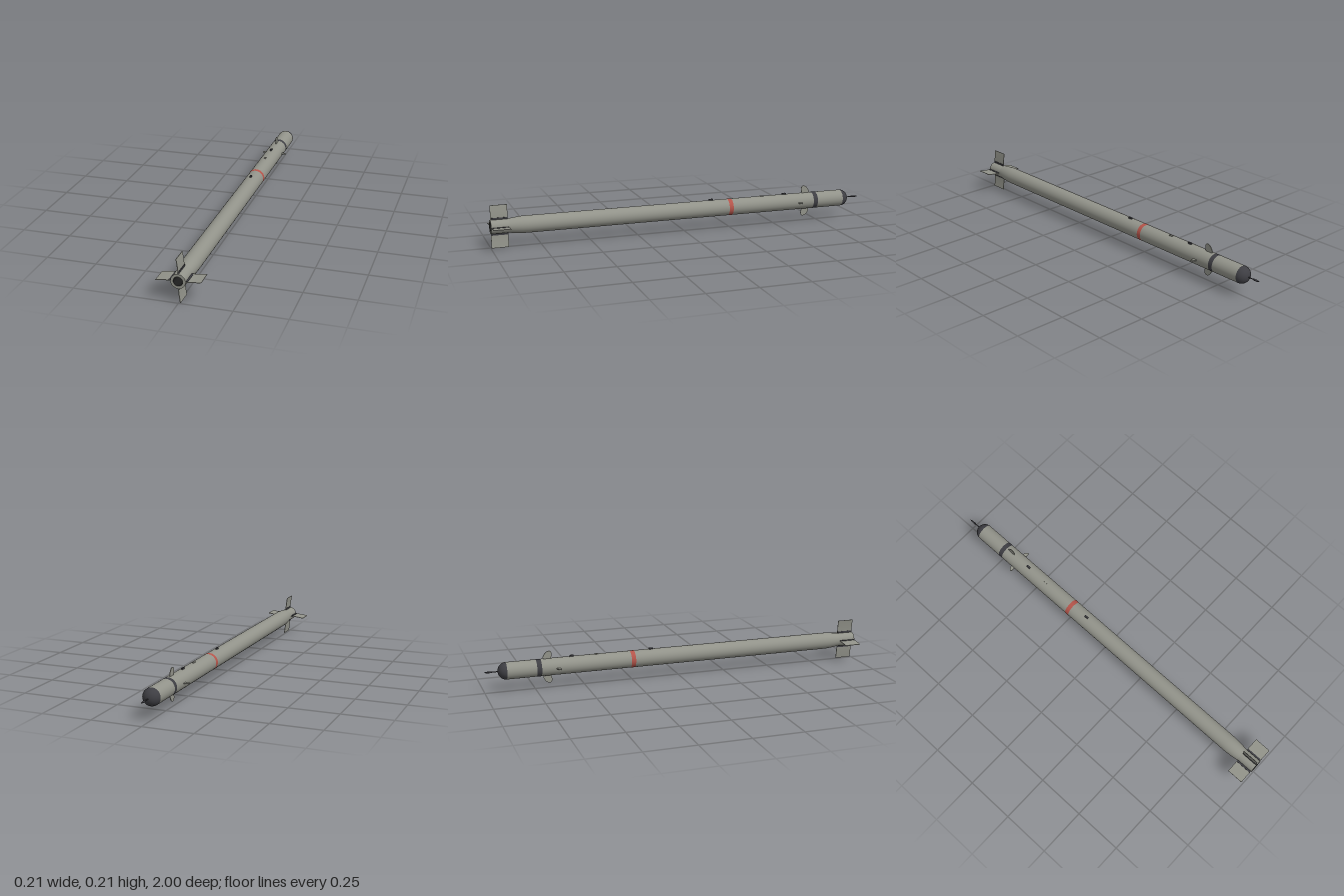
import * as THREE from 'three';

const R = 0.043; // main body radius

const mat = (name, color, side = THREE.FrontSide) =>
  Object.assign(new THREE.MeshStandardMaterial({ color, side }), { name });

export function createModel() {
  const grey = mat('body grey', 0x92938a);
  const dark = mat('dark grey', 0x3e3e43);
  const black = mat('nozzle black', 0x1c1c1c, THREE.DoubleSide);
  const red = mat('band red', 0xb4544a);

  const model = new THREE.Group();
  model.name = 'missile';
  const axis = new THREE.Group();
  axis.name = 'airframe';
  axis.position.y = 0.1065;
  model.add(axis);

  const add = (name, geometry, material, parent = axis) => {
    const mesh = new THREE.Mesh(geometry, material);
    mesh.name = name;
    parent.add(mesh);
    return mesh;
  };

  // Surface of revolution about z; profile is [radius, z] from nose to tail
  const turned = (name, profile, material, segments = 40) => {
    const points = profile.map(([r, z]) => new THREE.Vector2(r, z));
    return add(name, new THREE.LatheGeometry(points, segments).rotateX(Math.PI / 2), material);
  };

  // Body, boat tail and nozzle
  turned('body', [[R, -0.892], [R, 0.82]], grey);
  turned('boatTail', [[R, 0.82], [0.0425, 0.845], [0.039, 0.88], [0.035, 0.908]], grey);
  turned('tailTube', [[0.035, 0.908], [0.035, 0.998]], grey);
  turned('tailRing', [[0.035, 0.998], [0.022, 0.998]], grey);
  turned('nozzle', [[0.022, 0.998], [0.017, 0.95], [0, 0.945]], black);

  // Rounded nose and its probe
  const dome = [];
  for (let i = 0; i <= 10; i++) {
    const a = (i / 10) * Math.PI / 2;
    dome.push([R * Math.sin(a), -0.892 - 0.041 * Math.cos(a)]);
  }
  turned('nose', dome, dark);
  turned('probe', [[0, -1], [0.002, -0.996], [0.0045, -0.982], [0.0045, -0.966],
    [0.0025, -0.958], [0.0025, -0.93]], dark, 12);

  // Painted bands
  const band = (name, z, width, material) =>
    turned(name, [[R + 0.0004, z - width / 2], [R + 0.0004, z + width / 2]], material);
  band('darkBand', -0.732, 0.024, dark);
  band('redBand', -0.249, 0.022, red);

  // Curved tail fin: a thin bent strip pushed along z
  const bend = r => 0.008 * Math.pow((r - 0.033) / 0.073, 1.5);
  const upper = [], lower = [];
  for (let i = 0; i <= 8; i++) {
    const r = 0.033 + 0.073 * i / 8;
    upper.push(new THREE.Vector2(r, bend(r) + 0.0012));
    lower.unshift(new THREE.Vector2(r, bend(r) - 0.0012));
  }
  const finGeometry = new THREE.ExtrudeGeometry(new THREE.Shape([...lower, ...upper]),
    { depth: 0.085, bevelEnabled: false }).translate(0, 0, 0.911);
  const hingeGeometry = new THREE.BoxGeometry(0.012, 0.006, 0.08).translate(0.038, 0, 0.953);

  // Canard: a thin swept leaf with a rounded tip, reaching out along +x
  const canard = (reach, z, chord) => {
    const root = 0.04, span = reach - root;
    const s = new THREE.Shape();
    s.moveTo(root, -chord * 0.4);
    s.lineTo(root + span * 0.25, -chord * 0.5);
    s.bezierCurveTo(root + span * 0.7, -chord * 0.35, reach, -chord * 0.1, reach, chord * 0.2);
    s.quadraticCurveTo(reach, chord * 0.45, root + span * 0.6, chord * 0.5);
    s.lineTo(root, chord * 0.4);
    s.closePath();
    return new THREE.ExtrudeGeometry(s, { depth: 0.003, bevelEnabled: false, curveSegments: 8 })
      .translate(0, 0, -0.0015).rotateX(Math.PI / 2).translate(0, 0, z);
  };
  const tall = canard(0.082, -0.685, 0.046);
  const short = canard(0.068, -0.638, 0.022);

  for (let i = 0; i < 4; i++) {
    const quarter = new THREE.Group();
    quarter.name = 'finSet' + (i + 1);
    quarter.rotation.z = i * Math.PI / 2;
    axis.add(quarter);
    add('tailFin', finGeometry, grey, quarter);
    add('finHinge', hingeGeometry, dark, quarter);
    add('canard', i % 2 ? tall : short, grey, quarter);
  }

  // Launch lugs along the top
  [[-0.147, dark], [-0.435, grey], [-0.562, dark]].forEach(([z, material]) => {
    const height = material === dark ? 0.01 : 0.006;
    add('launchLug', new THREE.BoxGeometry(0.009, height, 0.02)
      .translate(0, R + height / 2 - 0.003, z), material);
  });

  return model;
}
